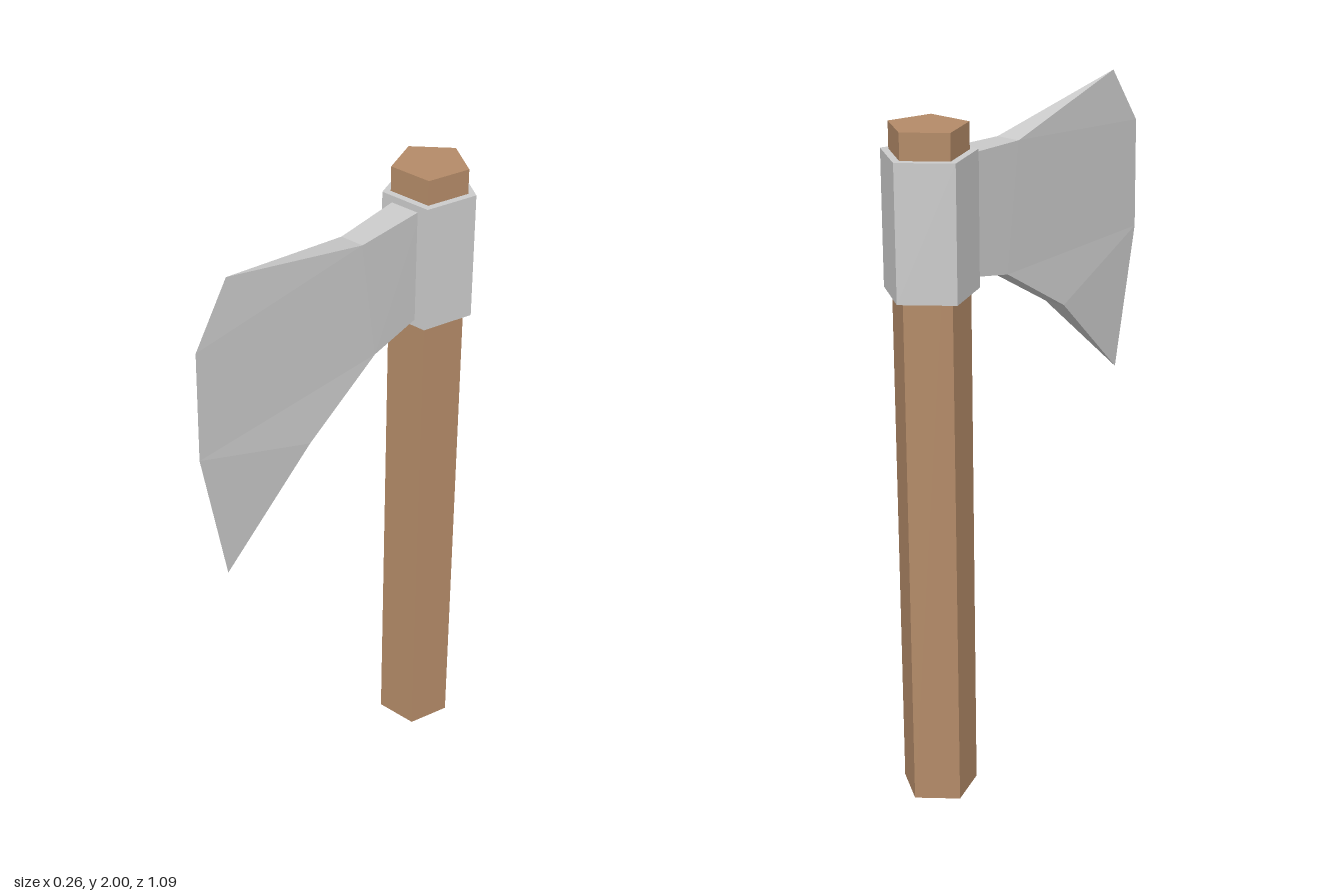
import * as THREE from 'three';

const wood = new THREE.MeshStandardMaterial({ color: 0xb48b68, flatShading: true });
const steel = new THREE.MeshStandardMaterial({ color: 0xcccccc, flatShading: true });

// Upright five-sided prism with one corner pointing back
function prism(name, radius, y0, y1, material) {
  const geometry = new THREE.CylinderGeometry(radius, radius, y1 - y0, 5, 1, false, Math.PI);
  geometry.translate(0, (y0 + y1) / 2, -0.406);
  const mesh = new THREE.Mesh(geometry, material);
  mesh.name = name;
  return mesh;
}

// Wedge blade: outline points as [half thickness, y, z], thinning to a sharp edge
function bladeGeometry() {
  const outline = [
    [0.046, 1.905, -0.31], // 0 root top
    [0.037, 1.895, -0.07], // 1 neck top
    [0, 2.0, 0.42], // 2 upper tip
    [0, 1.83, 0.54], // 3 cutting edge
    [0, 1.5, 0.545], // 4 cutting edge
    [0, 1.07, 0.455], // 5 lower tip
    [0.034, 1.36, 0.145], // 6 beard
    [0.041, 1.525, -0.125], // 7 neck bottom
    [0.046, 1.565, -0.31], // 8 root bottom
  ];
  const cheek = [[0, 1, 7], [0, 7, 8], [1, 2, 3], [1, 3, 4], [1, 4, 7], [7, 4, 6], [6, 4, 5]];
  const positions = [];
  const put = (i, side) => positions.push(outline[i][0] * side, outline[i][1], outline[i][2]);

  // Both cheeks, mirrored
  for (const [a, b, c] of cheek) {
    put(a, 1); put(b, 1); put(c, 1);
    put(a, -1); put(c, -1); put(b, -1);
  }
  // Rim joining the cheeks wherever the blade has thickness
  for (let i = 0; i < outline.length; i++) {
    const j = (i + 1) % outline.length;
    if (outline[i][0] > 0) { put(i, 1); put(i, -1); put(j, -1); }
    if (outline[j][0] > 0) { put(i, 1); put(j, -1); put(j, 1); }
  }
  const geometry = new THREE.BufferGeometry();
  geometry.setAttribute('position', new THREE.Float32BufferAttribute(positions, 3));
  geometry.computeVertexNormals();
  return geometry;
}

export function createModel() {
  const axe = new THREE.Group();
  axe.name = 'axe';
  const blade = new THREE.Mesh(bladeGeometry(), steel);
  blade.name = 'blade';
  axe.add(
    prism('handle', 0.113, 0, 2, wood),
    prism('collar', 0.137, 1.54, 1.925, steel),
    blade
  );
  return axe;
}
